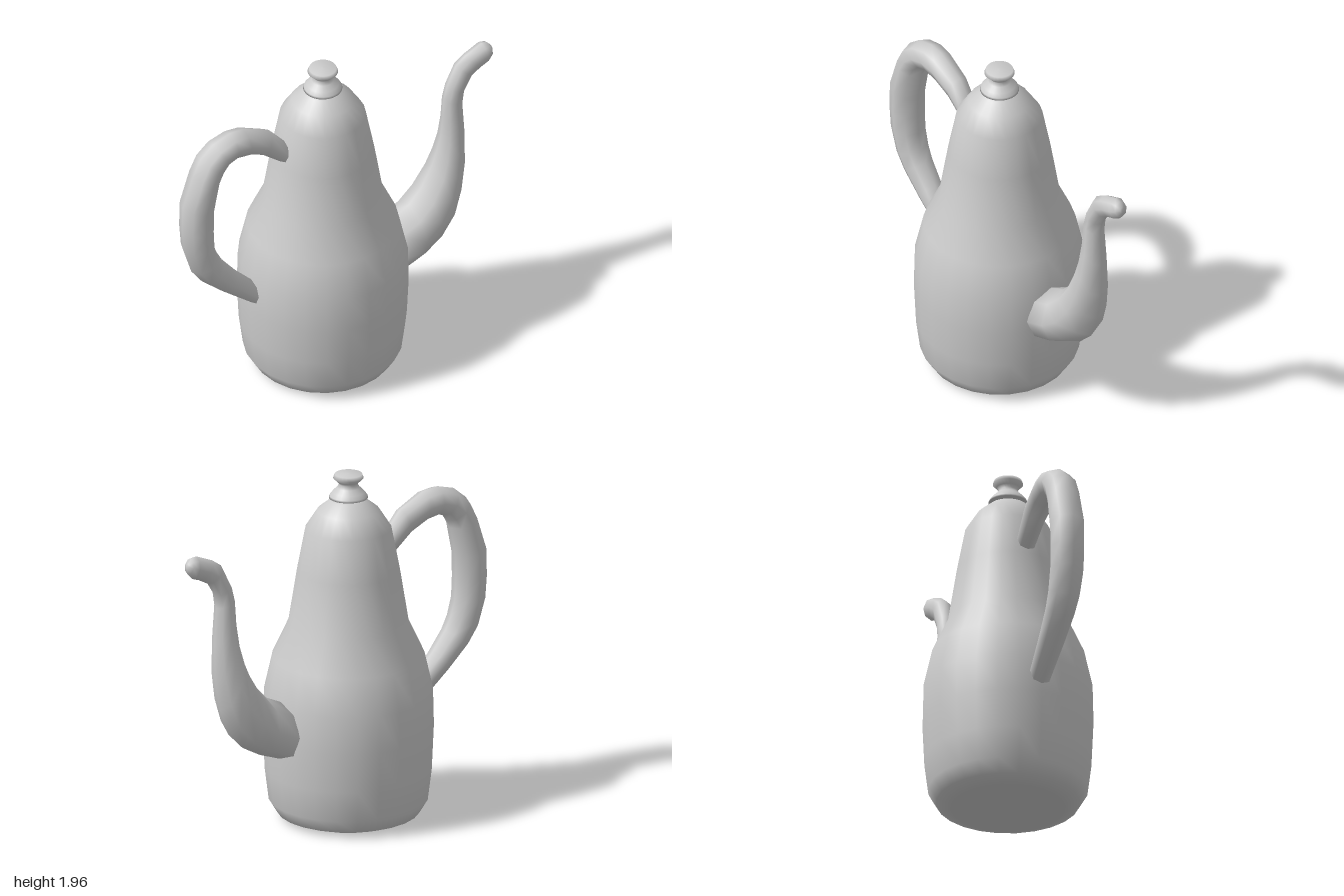
import * as THREE from 'three';

const AXIS_X = -0.09; // the pot's axis sits left of centre to balance the spout

const material = new THREE.MeshStandardMaterial({ color: 0xcccccc });

function lathe(name, profile, segments) {
  const points = profile.map(([r, y]) => new THREE.Vector2(r, y));
  const mesh = new THREE.Mesh(new THREE.LatheGeometry(points, segments), material);
  mesh.name = name;
  mesh.position.x = AXIS_X;
  return mesh;
}

// Bent tube lying in the xy plane, skinned over oval sections.
// Each section: [outer x, outer y, inner x, inner y, half width in z]
function bentTube(name, sections, sides) {
  const pos = [], index = [];
  for (const [x1, y1, x2, y2, w] of sections) {
    for (let i = 0; i < sides; i++) {
      const a = (i / sides) * Math.PI * 2, c = Math.cos(a);
      pos.push((x1 + x2) / 2 + (x1 - x2) / 2 * c, (y1 + y2) / 2 + (y1 - y2) / 2 * c, w * Math.sin(a));
    }
  }
  const last = sections.length - 1;
  for (let k = 0; k < last; k++) {
    for (let i = 0; i < sides; i++) {
      const j = (i + 1) % sides, a = k * sides + i, b = k * sides + j;
      index.push(a, a + sides, b, b, a + sides, b + sides);
    }
  }
  // End caps
  for (const k of [0, last]) {
    const [x1, y1, x2, y2] = sections[k];
    const centre = pos.length / 3;
    pos.push((x1 + x2) / 2, (y1 + y2) / 2, 0);
    for (let i = 0; i < sides; i++) {
      const a = k * sides + i, b = k * sides + (i + 1) % sides;
      if (k === 0) index.push(centre, a, b);
      else index.push(centre, b, a);
    }
  }
  const geo = new THREE.BufferGeometry();
  geo.setAttribute('position', new THREE.Float32BufferAttribute(pos, 3));
  geo.setIndex(index);
  geo.computeVertexNormals();
  const mesh = new THREE.Mesh(geo, material);
  mesh.name = name;
  return mesh;
}

export function createModel() {
  const group = new THREE.Group();
  group.name = 'coffeePot';

  // Pear-shaped body, from the centre of the base up to the neck
  group.add(lathe('body', [
    [0, 0], [0.31, 0], [0.39, 0.03], [0.435, 0.105], [0.457, 0.28], [0.467, 0.5],
    [0.462, 0.71], [0.415, 0.92], [0.328, 1.11], [0.28, 1.41], [0.234, 1.65],
    [0.17, 1.75], [0.1, 1.807], [0.07, 1.82], [0, 1.825],
  ], 24));

  // Flared lid with a waisted knob
  group.add(lathe('lidKnob', [
    [0, 1.82], [0.07, 1.822], [0.107, 1.823], [0.103, 1.835], [0.088, 1.855], [0.062, 1.88],
    [0.05, 1.9], [0.062, 1.915], [0.083, 1.935], [0.075, 1.957], [0, 1.96],
  ], 24));

  // Looping handle, from the shoulder down to the belly
  group.add(bentTube('handle', [
    [-0.337, 1.56, -0.35, 1.42, 0.056],
    [-0.44, 1.68, -0.49, 1.535, 0.067],
    [-0.604, 1.754, -0.583, 1.583, 0.078],
    [-0.69, 1.76, -0.674, 1.6, 0.083],
    [-0.8, 1.727, -0.722, 1.588, 0.09],
    [-0.882, 1.658, -0.754, 1.55, 0.095],
    [-0.93, 1.56, -0.78, 1.5, 0.098],
    [-0.995, 1.374, -0.813, 1.32, 0.1],
    [-1, 1.214, -0.813, 1.187, 0.1],
    [-0.99, 1.08, -0.807, 1.08, 0.097],
    [-0.94, 0.92, -0.78, 0.99, 0.092],
    [-0.872, 0.824, -0.743, 0.92, 0.086],
    [-0.738, 0.7, -0.658, 0.813, 0.077],
    [-0.545, 0.54, -0.54, 0.69, 0.065],
  ], 8));

  // Swan-neck spout with a rounded tip
  group.add(bentTube('spout', [
    [0.36, 0.41, 0.345, 0.73, 0.155],
    [0.508, 0.465, 0.465, 0.786, 0.158],
    [0.625, 0.53, 0.545, 0.87, 0.15],
    [0.72, 0.626, 0.615, 0.995, 0.13],
    [0.775, 0.775, 0.65, 1.09, 0.11],
    [0.807, 0.947, 0.672, 1.18, 0.09],
    [0.813, 1.16, 0.684, 1.29, 0.07],
    [0.802, 1.37, 0.69, 1.41, 0.057],
    [0.813, 1.444, 0.711, 1.49, 0.055],
    [0.861, 1.524, 0.77, 1.61, 0.054],
    [0.92, 1.556, 0.83, 1.652, 0.053],
    [0.963, 1.572, 0.936, 1.697, 0.053],
    [0.995, 1.605, 0.97, 1.69, 0.04],
    [1, 1.635, 0.992, 1.665, 0.015],
  ], 8));

  return group;
}
